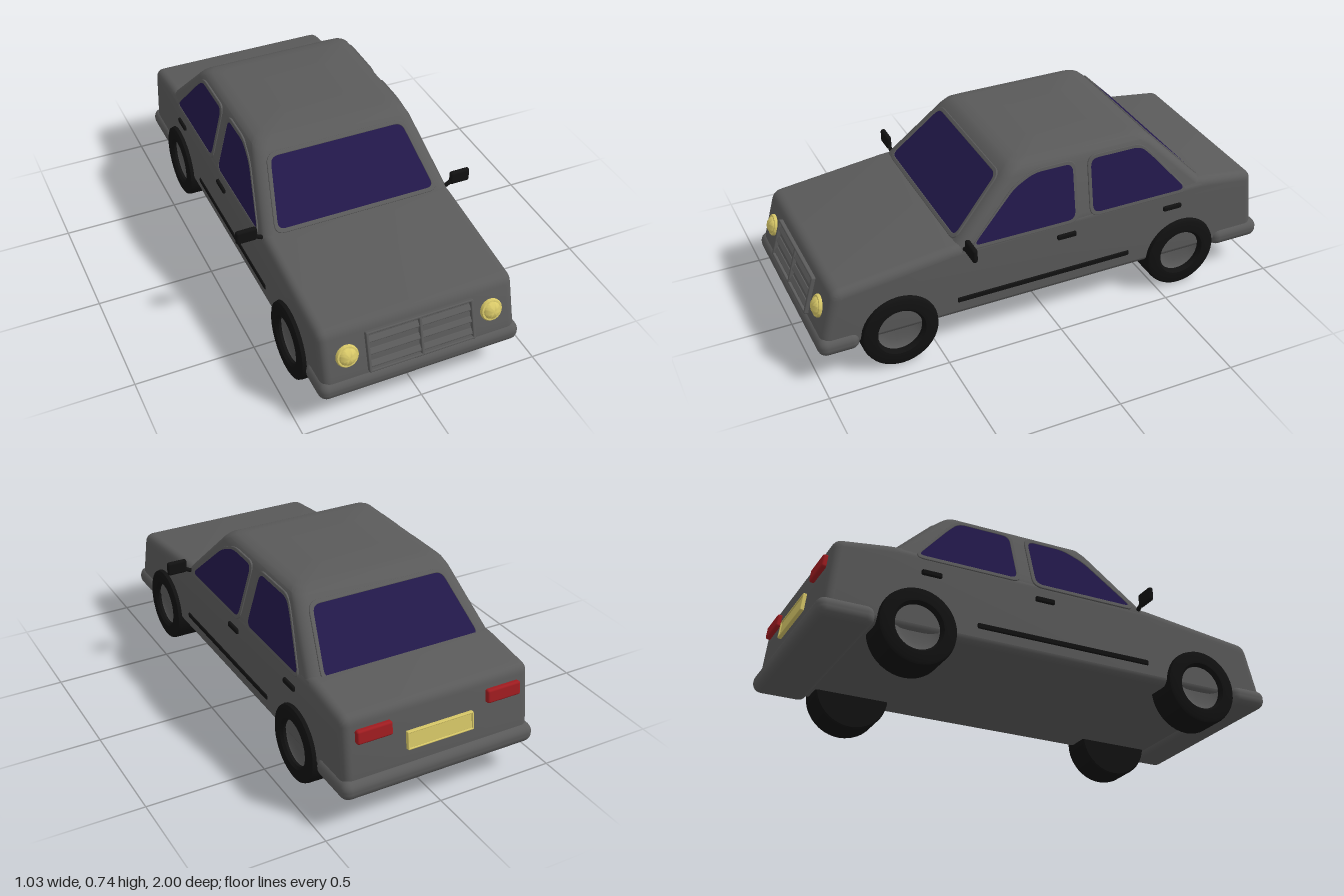
import * as THREE from 'three';
import { toCreasedNormals } from 'three/addons/utils/BufferGeometryUtils.js';
import { RoundedBoxGeometry } from 'three/addons/geometries/RoundedBoxGeometry.js';

const mat = (color) => new THREE.MeshStandardMaterial({ color });
const paint = mat(0x5a5a5a), glass = mat(0x22184a), black = mat(0x111111);
const yellow = mat(0xd8c868), red = mat(0xa01c20);

function add(parent, name, geometry, material, x = 0, y = 0, z = 0) {
  const mesh = new THREE.Mesh(geometry, material);
  mesh.name = name;
  mesh.position.set(x, y, z);
  parent.add(mesh);
  return mesh;
}

const box = (w, h, d, r) => new RoundedBoxGeometry(w, h, d, 3, r);

// Closed polygon with softened corners
function roundPoly(points, r, target = new THREE.Shape()) {
  const p = points.map(([x, y]) => new THREE.Vector2(x, y));
  p.forEach((c, i) => {
    const toward = (q) => c.clone().lerp(q, Math.min(0.45, r / c.distanceTo(q)));
    const a = toward(p[(i + p.length - 1) % p.length]);
    const b = toward(p[(i + 1) % p.length]);
    if (i === 0) target.moveTo(a.x, a.y); else target.lineTo(a.x, a.y);
    target.quadraticCurveTo(c.x, c.y, b.x, b.y);
  });
  target.closePath();
  return target;
}

// Grow a polygon by about t on every side
function grow(points, t) {
  const box2 = new THREE.Box2().setFromPoints(points.map(([x, y]) => new THREE.Vector2(x, y)));
  const c = box2.getCenter(new THREE.Vector2()), s = box2.getSize(new THREE.Vector2());
  return points.map(([x, y]) => [c.x + (x - c.x) * (1 + 2 * t / s.x), c.y + (y - c.y) * (1 + 2 * t / s.y)]);
}

// Glass with a raised surround, laid on the plane through origin spanned by u and v
function addWindow(parent, name, origin, u, v, points) {
  const group = new THREE.Group();
  group.name = name;
  const U = new THREE.Vector3(...u).normalize(), V = new THREE.Vector3(...v).normalize();
  group.applyMatrix4(new THREE.Matrix4().makeBasis(U, V, U.clone().cross(V)));
  group.position.set(...origin);
  add(group, 'glass', new THREE.ExtrudeGeometry(roundPoly(points, 0.035),
    { depth: 0.013, bevelEnabled: false, curveSegments: 6 }), glass, 0, 0, -0.01);
  const frame = roundPoly(grow(points, 0.012), 0.04);
  frame.holes.push(roundPoly(points, 0.035, new THREE.Path()));
  add(group, 'surround', new THREE.ExtrudeGeometry(frame,
    { depth: 0.012, bevelThickness: 0.003, bevelSize: 0.003, bevelSegments: 2, curveSegments: 6 }), paint, 0, 0, -0.01);
  parent.add(group);
}

// Lower body: side profile (z, y) extruded across the width
function bodyGeometry() {
  const profile = [[0.985, 0.145], [0.985, 0.2], [0.925, 0.412], [0.42, 0.474],
    [-0.7, 0.495], [-0.945, 0.462], [-0.975, 0.21], [-0.975, 0.145]];
  const bevel = 0.035, depth = 0.82 - 2 * bevel;
  const g = new THREE.ExtrudeGeometry(roundPoly(profile, 0.035), {
    depth, bevelThickness: bevel, bevelSize: bevel, bevelOffset: -bevel, bevelSegments: 5, curveSegments: 6,
  });
  g.translate(0, 0, -depth / 2).rotateY(-Math.PI / 2);
  return toCreasedNormals(g, 0.6);
}

// Cabin: rounded rectangles stacked upward as [y, front z, back z, half width]
function cabinGeometry() {
  const levels = [[0.4, 0.43, -0.74, 0.4], [0.45, 0.43, -0.735, 0.41], [0.48, 0.403, -0.708, 0.403],
    [0.69, 0.192, -0.5, 0.347], [0.715, 0.165, -0.472, 0.334], [0.73, 0.135, -0.44, 0.31], [0.736, 0.09, -0.395, 0.27]];
  const pos = [], index = [], steps = 6, n = 4 * (steps + 1), r = 0.045;
  for (const [y, zf, zb, w] of levels) {
    for (let q = 0; q < 4; q++) for (let s = 0; s <= steps; s++) {
      const a = (q + s / steps) * Math.PI / 2;
      const sx = q === 0 || q === 3 ? 1 : -1;
      pos.push(sx * (w - r) + r * Math.cos(a), y, (q < 2 ? zf - r : zb + r) + r * Math.sin(a));
    }
  }
  for (let k = 0; k < levels.length - 1; k++) for (let i = 0; i < n; i++) {
    const a = k * n + i, b = k * n + (i + 1) % n;
    index.push(a, a + n, b, b, a + n, b + n);
  }
  const top = (levels.length - 1) * n;
  pos.push(0, 0.737, -0.15);
  for (let i = 0; i < n; i++) index.push(top + i, top + n, top + (i + 1) % n);
  const g = new THREE.BufferGeometry();
  g.setAttribute('position', new THREE.Float32BufferAttribute(pos, 3));
  g.setIndex(index);
  return toCreasedNormals(g, 0.6);
}

const lathe = (points, crease = 0.6) => toCreasedNormals(
  new THREE.LatheGeometry(points.map(([x, y]) => new THREE.Vector2(x, y)), 40), crease);

export function createModel() {
  const car = new THREE.Group();
  car.name = 'car';
  add(car, 'body', bodyGeometry(), paint);
  add(car, 'cabin', cabinGeometry(), paint);

  // Bumpers
  add(car, 'frontBumper', box(0.85, 0.08, 0.17, 0.036), paint, 0, 0.167, 0.915);
  add(car, 'rearBumper', box(0.85, 0.08, 0.23, 0.036), paint, 0, 0.17, -0.885);

  // Windscreen and rear window
  const screen = (len) => [[-0.345, 0.005], [0.345, 0.005], [0.29, len], [-0.29, len]];
  addWindow(car, 'windscreen', [0, 0.48, 0.403], [1, 0, 0], [0, 0.21, -0.211], screen(0.295));
  addWindow(car, 'rearWindow', [0, 0.48, -0.708], [-1, 0, 0], [0, 0.21, 0.208], screen(0.29));

  // Side windows, outlined as (z, y)
  const sideWindows = {
    FrontWindow: [[0.35, 0.465], [0.15, 0.65], [0.06, 0.69], [-0.11, 0.69], [-0.1, 0.465]],
    RearWindow: [[-0.18, 0.47], [-0.19, 0.69], [-0.42, 0.69], [-0.47, 0.64], [-0.615, 0.47]],
  };

  // Wheel profiles about the axle, outer face up
  const tyre = lathe([[0, -0.072], [0.155, -0.072], [0.161, -0.066], [0.161, 0.052], [0.157, 0.066],
    [0.147, 0.071], [0.104, 0.071], [0.094, 0.06], [0.094, 0.02]]);
  const hub = lathe([[0.096, 0.05], [0.088, 0.043], [0.06, 0.036], [0.03, 0.034], [0, 0.034]]);

  for (const [side, s] of [['left', 1], ['right', -1]]) {
    for (const [name, outline] of Object.entries(sideWindows)) {
      const points = outline.map(([z, y]) => [-s * z, (y - 0.48) * 1.035]);
      addWindow(car, side + name, [s * 0.403, 0.48, 0], [0, 0, -s], [-s * 0.056, 0.21, 0], points);
    }

    for (const [name, z] of [['FrontWheel', 0.668], ['RearWheel', -0.605]]) {
      const wheel = new THREE.Group();
      wheel.name = side + name;
      add(wheel, 'tyre', tyre, black);
      add(wheel, 'hub', hub, paint);
      wheel.position.set(s * 0.359, 0.161, z);
      wheel.rotation.z = -s * Math.PI / 2;
      car.add(wheel);
    }

    // Door handles and side moulding
    add(car, side + 'FrontHandle', box(0.022, 0.022, 0.085, 0.006), black, s * 0.41, 0.398, -0.06);
    add(car, side + 'RearHandle', box(0.022, 0.022, 0.085, 0.006), black, s * 0.41, 0.398, -0.553);
    add(car, side + 'Moulding', box(0.016, 0.024, 0.775, 0.006), black, s * 0.407, 0.224, 0.032);

    // Door mirror
    const arm = new THREE.CatmullRomCurve3([[0.39, 0.455], [0.415, 0.464], [0.44, 0.48]]
      .map(([x, y]) => new THREE.Vector3(s * x, y, 0.383)));
    add(car, side + 'MirrorArm', new THREE.TubeGeometry(arm, 8, 0.009, 8), black);
    add(car, side + 'Mirror', box(0.088, 0.06, 0.022, 0.01), black, s * 0.47, 0.49, 0.383);

    // Headlamp: rim with a domed lens
    const lamp = add(car, side + 'Headlamp', lathe([[0.046, -0.015], [0.046, 0.006], [0.042, 0.012],
      [0.035, 0.012], [0.032, 0.017], [0.022, 0.025], [0.011, 0.029], [0, 0.03]], 0.7),
    yellow, s * 0.304, 0.3, 0.957);
    lamp.rotation.x = Math.PI / 2 - 0.28;

    // Tail lamp in a thin surround
    const tail = add(car, side + 'TailLamp', box(0.15, 0.056, 0.03, 0.009), red, s * 0.283, 0.383, -0.959);
    tail.rotation.x = 0.12;
  }

  // Grille: frame, centre bar and angled slats
  const grille = new THREE.Group();
  grille.name = 'grille';
  grille.position.set(0, 0.29, 0.957);
  grille.rotation.x = -0.28;
  for (const y of [-0.08, 0.08]) add(grille, 'grilleRail', box(0.45, 0.01, 0.03, 0.004), paint, 0, y, 0.004);
  for (const x of [-0.22, 0, 0.22]) add(grille, 'grillePost', box(0.012, 0.165, 0.03, 0.004), paint, x, 0, 0.004);
  for (const y of [-0.055, -0.003, 0.049]) {
    const slat = add(grille, 'grilleSlat', box(0.435, 0.026, 0.012, 0.004), paint, 0, y, 0.005);
    slat.rotation.x = -0.45;
  }
  car.add(grille);

  // Number plate with raised border
  const plate = new THREE.Group();
  plate.name = 'numberPlate';
  plate.position.set(0, 0.305, -0.964);
  plate.rotation.x = 0.13;
  add(plate, 'plate', box(0.28, 0.066, 0.02, 0.004), yellow);
  for (const s of [-1, 1]) {
    add(plate, 'plateBorder', box(0.29, 0.007, 0.03, 0.003), yellow, 0, s * 0.034, 0);
    add(plate, 'plateBorder', box(0.007, 0.074, 0.03, 0.003), yellow, s * 0.142, 0, 0);
  }
  car.add(plate);
  return car;
}
